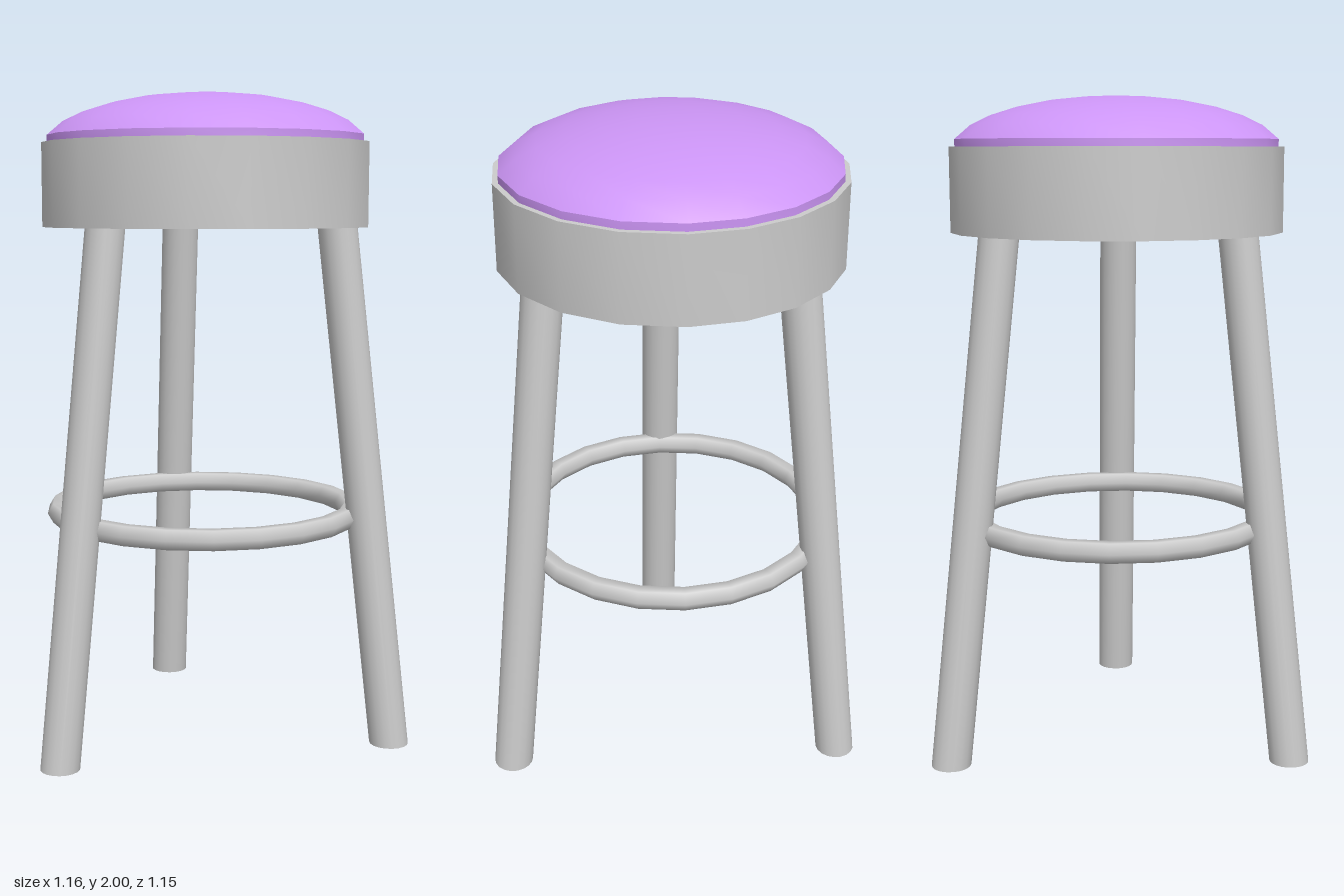
import * as THREE from 'three';
import { mergeGeometries, toCreasedNormals } from 'three/addons/utils/BufferGeometryUtils.js';

const SEAT_X = 0.075, SEAT_Z = -0.01;

// Round part with 19 sides: nine across the front half, ten across the back
function turned(profile) {
  const points = profile.map(([r, y]) => new THREE.Vector2(r, y));
  const front = new THREE.LatheGeometry(points, 9, -Math.PI / 2, Math.PI);
  const back = new THREE.LatheGeometry(points, 10, Math.PI / 2, Math.PI);
  return toCreasedNormals(mergeGeometries([front, back]), 0.65);
}

// Slanted round leg whose ends stay level
function slantedLeg(bottom, top, height, radius) {
  const geometry = new THREE.CylinderGeometry(radius, radius, height, 18);
  geometry.translate(0, height / 2, 0);
  const p = geometry.attributes.position;
  for (let i = 0; i < p.count; i++) {
    const t = p.getY(i) / height;
    p.setX(i, p.getX(i) + THREE.MathUtils.lerp(bottom[0], top[0], t));
    p.setZ(i, p.getZ(i) + THREE.MathUtils.lerp(bottom[1], top[1], t));
  }
  return toCreasedNormals(geometry, 0.65);
}

export function createModel() {
  const stool = new THREE.Group();
  stool.name = 'stool';
  const grey = new THREE.MeshStandardMaterial({ color: 0xcccccc });
  const purple = new THREE.MeshStandardMaterial({ color: 0xcc95f5 });

  const add = (name, geometry, material, x = 0, y = 0, z = 0) => {
    const mesh = new THREE.Mesh(geometry, material);
    mesh.name = name;
    mesh.position.set(x, y, z);
    stool.add(mesh);
    return mesh;
  };

  // Seat drum, closed below and above
  add('seatBase', turned([[0, 1.595], [0.505, 1.595], [0.505, 1.85], [0, 1.85]]),
    grey, SEAT_X, 0, SEAT_Z);

  // Domed cushion
  add('cushion', turned([
    [0.488, 1.845], [0.488, 1.872], [0.44, 1.913], [0.38, 1.942],
    [0.3, 1.967], [0.2, 1.987], [0.1, 1.997], [0, 2]
  ]), purple, SEAT_X, 0, SEAT_Z);

  // Three splayed legs: [x, z] at the floor and under the seat
  const legs = {
    rightLeg: [[-0.52, -0.018], [-0.33, -0.016]],
    frontLeg: [[0.362, 0.515], [0.265, 0.36]],
    backLeg: [[0.383, -0.515], [0.285, -0.35]]
  };
  for (const [name, [bottom, top]] of Object.entries(legs)) {
    add(name, slantedLeg(bottom, top, 1.6, 0.06), grey);
  }

  // Foot ring with a six-sided section
  const ring = new THREE.TorusGeometry(0.463, 0.034, 6, 22);
  ring.rotateX(Math.PI / 2);
  add('footRing', ring, grey, 0.07, 0.71, -0.012);

  return stool;
}
